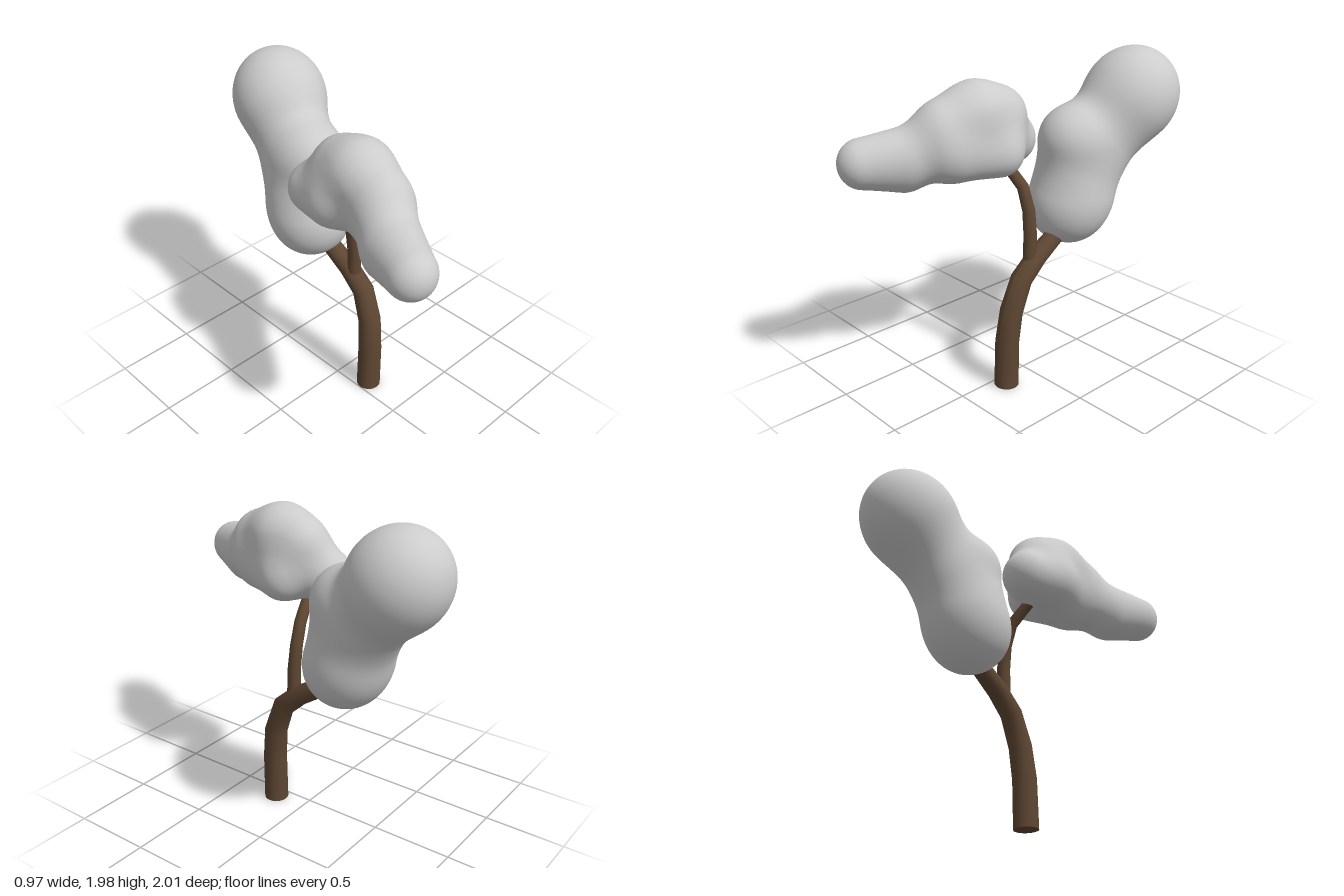
import * as THREE from 'three';
import { mergeVertices } from 'three/addons/utils/BufferGeometryUtils.js';

const V = (x, y, z) => new THREE.Vector3(x, y, z);

// Tapered limb: a cylinder whose rings follow the points [x, y, z, radius]
function limb(points, sides) {
  const n = points.length - 1;
  const geo = new THREE.CylinderGeometry(1, 1, 1, sides, n);
  const centres = points.map(p => V(p[0], p[1], p[2]));
  const frames = centres.map((c, i) => {
    const t = V(0, 0, 0);
    if (i > 0) t.add(c.clone().sub(centres[i - 1]).normalize());
    if (i < n) t.add(centres[i + 1].clone().sub(c).normalize());
    t.normalize();
    const x = V(1, 0, 0).addScaledVector(t, -t.x).normalize();
    return { x, z: x.clone().cross(t) };
  });
  const pos = geo.attributes.position;
  for (let k = 0; k < pos.count; k++) {
    const i = Math.round((pos.getY(k) + 0.5) * n);
    const r = points[i][3];
    const p = centres[i].clone()
      .addScaledVector(frames[i].x, pos.getX(k) * r)
      .addScaledVector(frames[i].z, pos.getZ(k) * r);
    pos.setXYZ(k, p.x, p.y, p.z);
  }
  geo.computeVertexNormals();
  return geo;
}

// Distance to a round cone lobe { a, b, ra, rb }
function lobeDistance(p, l) {
  const ab = l.b.clone().sub(l.a);
  const len = ab.lengthSq();
  const t = len ? THREE.MathUtils.clamp(p.clone().sub(l.a).dot(ab) / len, 0, 1) : 0;
  return p.distanceTo(l.a.clone().addScaledVector(ab, t)) - THREE.MathUtils.lerp(l.ra, l.rb, t);
}

// Lobes melted together with a soft minimum
function blobDistance(p, lobes, k) {
  return lobes.reduce((d, l) => {
    const e = lobeDistance(p, l);
    const h = Math.max(k - Math.abs(d - e), 0) / k;
    return Math.min(d, e) - h * h * k / 4;
  }, 10);
}

// Foliage: a sphere stretched along an axis and shrunk onto the melted lobes
function foliage(centre, axis, lobes, k) {
  let geo = new THREE.IcosahedronGeometry(1, 26);
  geo.deleteAttribute('normal');
  geo.deleteAttribute('uv');
  geo = mergeVertices(geo, 1e-5);
  const pos = geo.attributes.position;
  const u = V(0, 0, 0);
  axis.normalize();
  for (let i = 0; i < pos.count; i++) {
    u.fromBufferAttribute(pos, i);
    u.addScaledVector(axis, u.dot(axis) * 1.1).normalize();
    let t = 1.2;
    for (let s = 0; s < 60; s++) {
      const d = blobDistance(centre.clone().addScaledVector(u, t), lobes, k);
      if (d < 0.0005) break;
      t -= d * 0.95;
    }
    pos.setXYZ(i, centre.x + u.x * t, centre.y + u.y * t, centre.z + u.z * t);
  }
  geo.computeVertexNormals();
  return geo;
}

const lobe = (a, ra, b = a, rb = ra) => ({ a: V(...a), b: V(...b), ra, rb });

export function createModel() {
  const bark = new THREE.MeshStandardMaterial({ color: 0x5e4632 });
  bark.name = 'bark brown';
  const leaf = new THREE.MeshStandardMaterial({ color: 0xcccccc });
  leaf.name = 'foliage grey';

  const group = new THREE.Group();
  group.name = 'tree';
  const add = (name, geo, mat) => {
    const mesh = new THREE.Mesh(geo, mat);
    mesh.name = name;
    group.add(mesh);
  };

  // Bent trunk, running up into the rear foliage
  add('trunk', limb([
    [0.075, 0, 0.21, 0.075], [0.083, 0.3, 0.208, 0.073], [0.097, 0.5, 0.186, 0.07],
    [0.108, 0.69, 0.115, 0.066], [0.108, 0.8, -0.01, 0.062],
    [0.104, 0.895, -0.17, 0.056], [0.1, 0.98, -0.3, 0.05],
  ], 20), bark);

  // Thin side branch, carrying the front foliage
  add('branch', limb([
    [0.102, 0.77, 0.042, 0.041], [0.103, 0.95, 0.037, 0.04], [0.085, 1.1, 0.033, 0.038],
    [0.04, 1.235, 0.037, 0.036], [-0.055, 1.335, 0.06, 0.034], [-0.12, 1.4, 0.08, 0.03],
  ], 16), bark);

  // Tall rear foliage: bottom, inner bulge, spine and top lobes
  add('rearFoliage', foliage(V(0.11, 1.4, -0.46), V(0.12, 0.65, -0.42), [
    lobe([0.073, 1.06, -0.312], 0.248),
    lobe([0.09, 1.46, -0.325], 0.208),
    lobe([0.085, 1.22, -0.39], 0.2, [0.18, 1.62, -0.655], 0.228),
    lobe([0.205, 1.712, -0.738], 0.262),
  ], 0.18), leaf);

  // Long front foliage: tapering tip, crown, left and back lobes
  add('frontFoliage', foliage(V(-0.14, 1.52, 0.36), V(-0.3, -0.03, 1), [
    lobe([-0.348, 1.452, 0.865], 0.105, [-0.265, 1.432, 0.66], 0.142),
    lobe([-0.345, 1.492, 0.865], 0.11, [-0.16, 1.53, 0.5], 0.165),
    lobe([-0.14, 1.65, 0.46], 0.152, [-0.1, 1.685, 0.27], 0.165),
    lobe([-0.1, 1.685, 0.27], 0.165, [-0.08, 1.66, 0.12], 0.165),
    lobe([0.005, 1.475, 0.19], 0.146, [-0.09, 1.48, 0.4], 0.147),
    lobe([-0.145, 1.478, -0.032], 0.152, [-0.18, 1.5, 0.15], 0.16),
  ], 0.13), leaf);

  return group;
}
